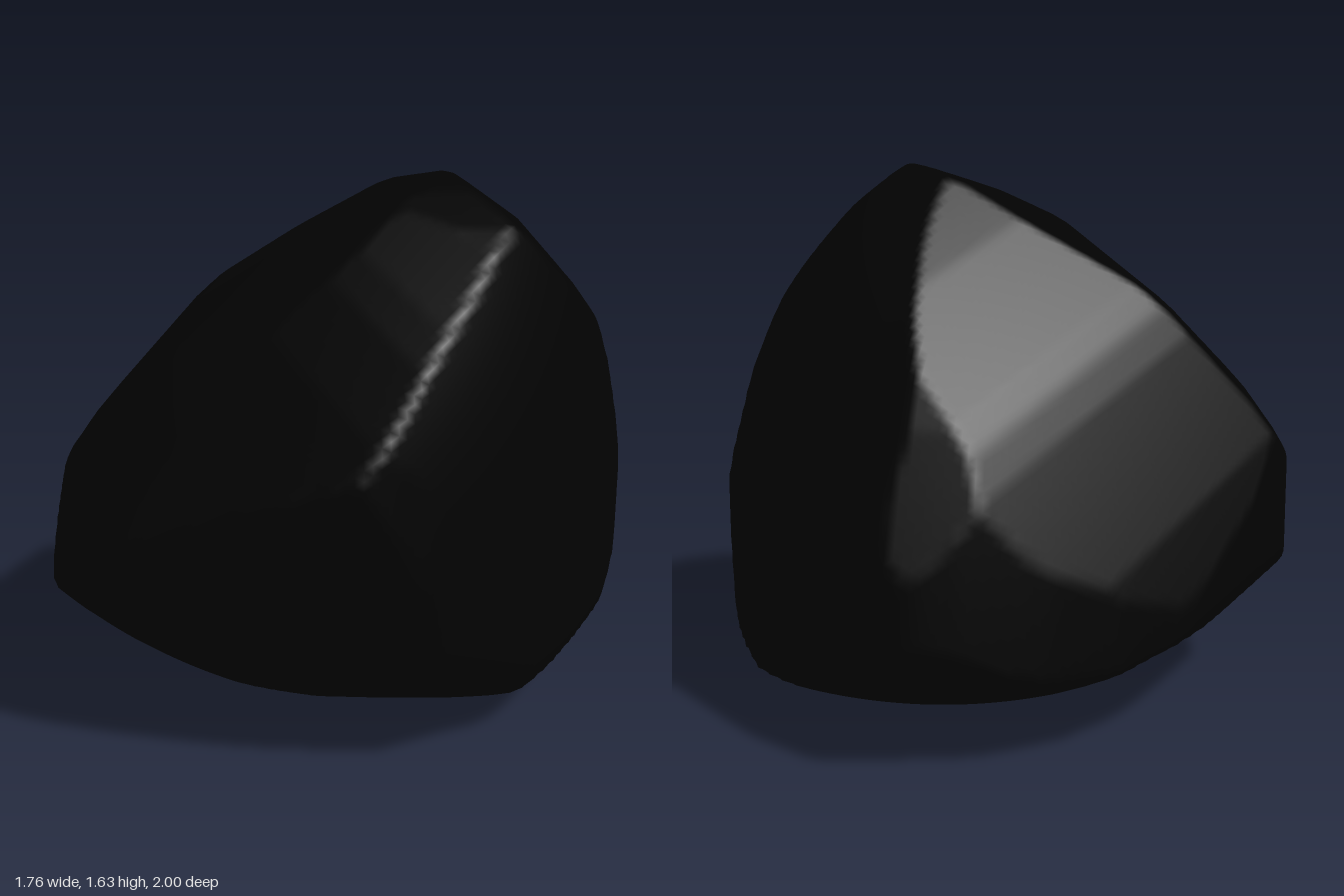
import * as THREE from 'three';
import { mergeVertices } from 'three/addons/utils/BufferGeometryUtils.js';

const vec = (x, y, z) => new THREE.Vector3(x, y, z);
const centre = vec(0, 0.75, 0);

// Rock outlines along a direction (azimuth, elevation in degrees), as
// (across, up) points; lift is the height of the outline's origin.
const outlines = [
  { az: 0, el: 0, lift: 0, pts: [[-.88, .37], [-.87, .76], [-.5, 1.2], [-.13, 1.47], [.3, 1.63], [.39, 1.63],
    [.75, 1.22], [.88, .65], [.82, .2], [.25, 0], [-.52, .11]] },
  { az: 90, el: 0, lift: 0, pts: [[-1, .95], [-.75, 1.36], [-.25, 1.62], [.35, 1.59], [.78, 1.14],
    [1, .55], [1, .36], [.6, .06], [.1, 0], [-.66, .16]] },
  { az: 0, el: 90, lift: 0, pts: [[-.88, .08], [-.58, .55], [-.2, .86], [.18, 1], [.61, .64],
    [.88, .14], [.82, -.17], [.5, -.68], [.08, -1], [-.45, -.85], [-.81, -.62]] },
  { az: 40, el: 25, lift: .815, pts: [[-1.02, -.26], [-.71, .23], [-.2, .59], [.35, .77], [.53, .64],
    [.78, .14], [.87, -.4], [.84, -.67], [.1, -.91], [-.71, -.62]] },
  { az: 220, el: 25, lift: .815, pts: [[-.87, -.4], [-.67, .33], [-.4, .74], [-.07, .94], [.36, .7],
    [.74, .31], [1.02, -.235], [.8, -.585], [-.2, -.87], [-.81, -.75]] },
  { az: 140, el: -25, lift: .815, pts: [[-.82, 0], [-.71, .59], [-.19, .84], [.08, .855], [.58, .33],
    [.8, -.41], [.53, -.77], [.08, -.873], [-.67, -.7]] },
];

// Broad bulging faces: outward direction, a point on the face, radius of its curve.
const bulges = [
  { out: vec(-.6, .7, .35), at: vec(-.38, 1.25, .35), radius: 2.12 }, // upper left
  { out: vec(-.2, -.38, .9), at: vec(-.25, .53, .81), radius: 3 }, // lower front
  { out: vec(.79, .02, .61), at: vec(.57, .8, .56), radius: 2.5 }, // front left
  { out: vec(.74, .29, -.61), at: vec(.62, .75, -.57), radius: 1.9 }, // back left
  { out: vec(0, -1, 0), at: vec(.17, 0, -.08), radius: 1.65 }, // underside
];

// Planes that touch an outline all the way round, parallel to its viewing direction.
function outlinePlanes({ az, el, lift, pts }) {
  const a = THREE.MathUtils.degToRad(az), e = THREE.MathUtils.degToRad(el);
  const across = vec(Math.cos(a), 0, -Math.sin(a));
  const up = vec(-Math.sin(e) * Math.sin(a), Math.cos(e), -Math.sin(e) * Math.cos(a));
  const corners = pts.map(([u, v]) => vec(0, lift, 0).addScaledVector(across, u).addScaledVector(up, v));
  const rim = new THREE.CatmullRomCurve3(corners, true, 'catmullrom', 0.25).getPoints(110);
  return Array.from({ length: 60 }, (_, i) => {
    const t = (i / 60) * Math.PI * 2;
    const normal = across.clone().multiplyScalar(Math.cos(t)).addScaledVector(up, Math.sin(t));
    const reach = Math.max(...rim.map((p) => p.clone().sub(centre).dot(normal)));
    return { normal, reach };
  });
}

// Distance from the centre to a bulging face along direction d.
function bulgeDistance({ out, at, radius }, d) {
  const toCentre = at.clone().addScaledVector(out.clone().normalize(), -radius).sub(centre);
  const along = toCentre.dot(d);
  return along + Math.sqrt(along * along + radius * radius - toCentre.lengthSq());
}

export function createModel() {
  const planes = outlines.flatMap(outlinePlanes);

  // Fit a fine sphere to the solid bounded by the planes and bulging faces.
  let geometry = new THREE.IcosahedronGeometry(1, 45);
  geometry.deleteAttribute('normal');
  geometry.deleteAttribute('uv');
  geometry = mergeVertices(geometry, 1e-4);
  const pos = geometry.attributes.position;
  const d = vec(0, 0, 0);
  for (let i = 0; i < pos.count; i++) {
    d.fromBufferAttribute(pos, i).normalize();
    let r = Math.min(...bulges.map((face) => bulgeDistance(face, d)));
    for (const { normal, reach } of planes) {
      const facing = normal.dot(d);
      if (facing > 1e-4) r = Math.min(r, reach / facing);
    }
    d.multiplyScalar(r).add(centre);
    pos.setXYZ(i, d.x, d.y, d.z);
  }
  geometry.computeVertexNormals();

  const rock = new THREE.Mesh(geometry, new THREE.MeshStandardMaterial({ color: 0x020202 }));
  rock.name = 'rock';
  const group = new THREE.Group();
  group.name = 'boulder';
  group.add(rock);
  return group;
}
